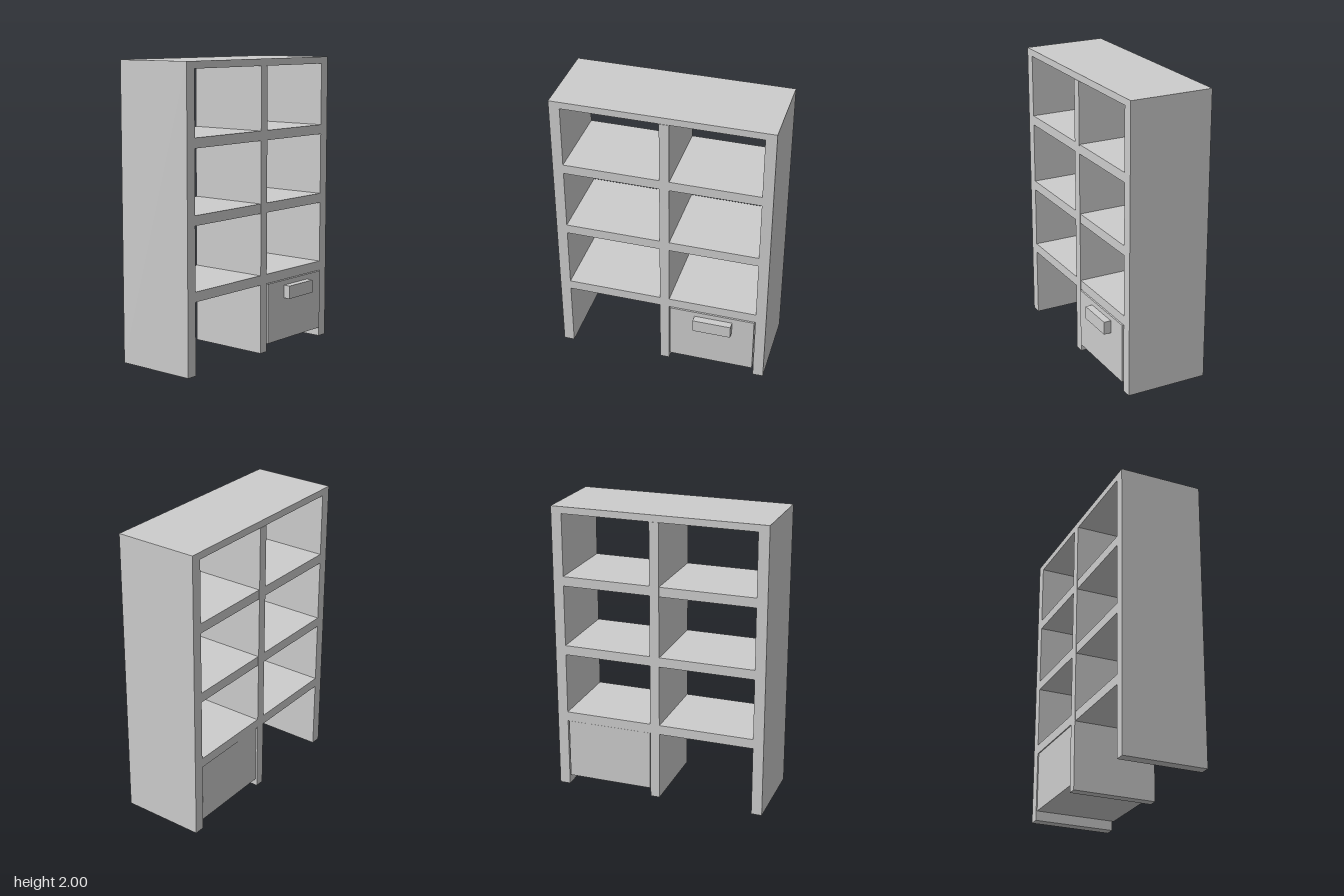
import * as THREE from 'three';

export function createModel() {
  const model = new THREE.Group();
  model.name = 'bookcase';
  const paint = new THREE.MeshStandardMaterial({ color: 0xcccccc });
  paint.name = 'light grey paint';

  // Box given by its extents along each axis
  function board(name, [x0, x1], [y0, y1], [z0, z1]) {
    const mesh = new THREE.Mesh(new THREE.BoxGeometry(x1 - x0, y1 - y0, z1 - z0), paint);
    mesh.name = name;
    mesh.position.set((x0 + x1) / 2, (y0 + y1) / 2, (z0 + z1) / 2);
    model.add(mesh);
  }

  const depth = [-0.315, 0.257];
  const inner = 0.664, outer = 0.737;

  // Outer frame
  board('leftSide', [inner, outer], [0, 2], depth);
  board('rightSide', [-outer, -inner], [0, 2], depth);
  board('topPanel', [-inner, inner], [1.953, 2], depth);

  // Divider stands a hair proud of the shelves
  board('divider', [-0.01, 0.055], [0.01, 1.953], [-0.318, 0.26]);

  // Three shelves on each side of the divider
  for (const y of [0.483, 0.972, 1.46]) {
    board('rightShelf', [-inner, -0.01], [y, y + 0.066], depth);
    board('leftShelf', [0.055, inner], [y, y + 0.066], depth);
  }

  // Drawer with a block handle
  board('drawer', [0.062, 0.657], [0.065, 0.48], [-0.31, 0.266]);
  board('drawerHandle', [0.238, 0.504], [0.355, 0.445], [0.266, 0.316]);

  return model;
}
